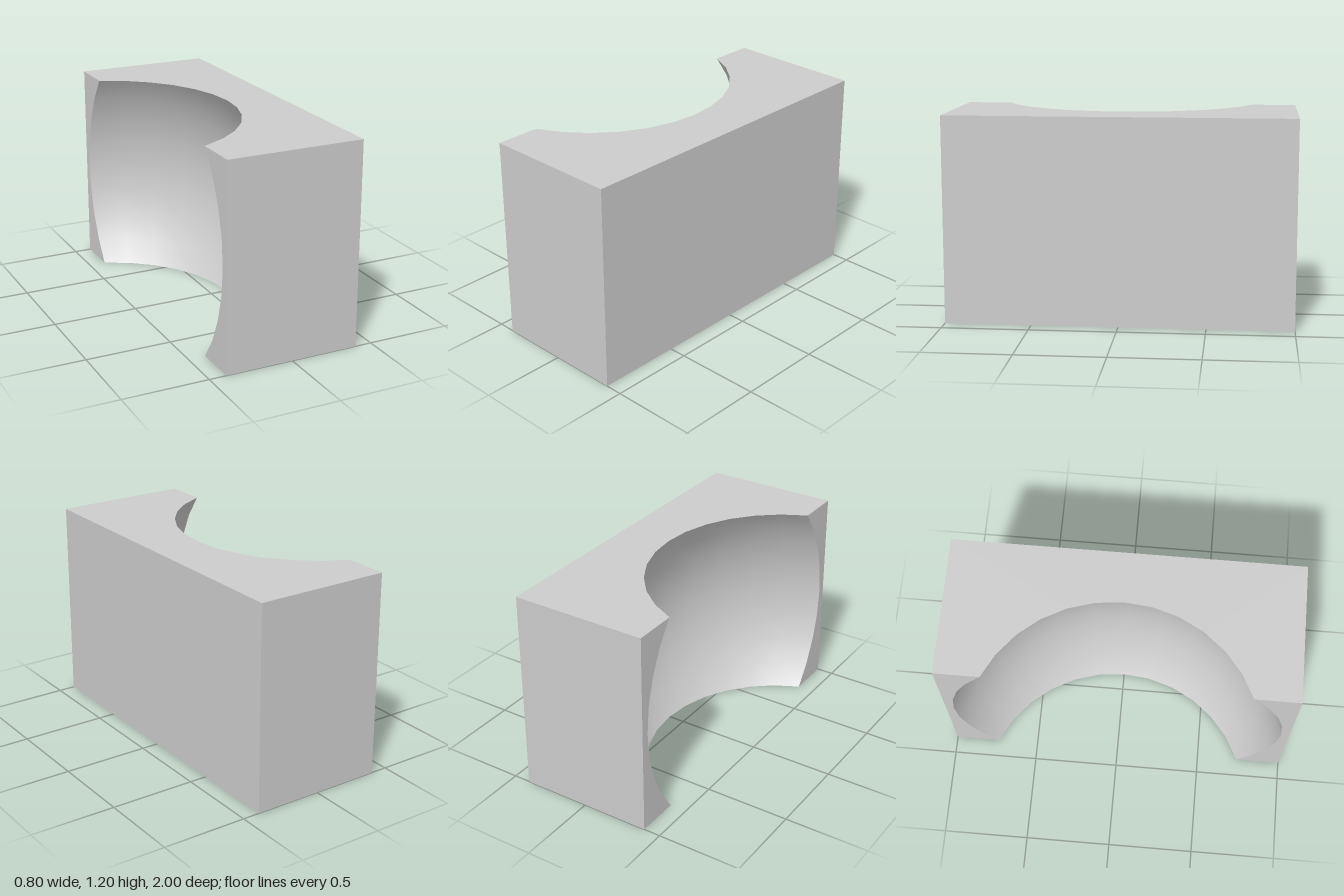
import * as THREE from 'three';
import { ParametricGeometry } from 'three/addons/geometries/ParametricGeometry.js';

const W = 0.8, H = 1.2, D = 2;      // block size
const R = 1, CX = -0.7, CY = H / 2; // spherical hollow, open on the -x side
const OPEN_X = -W / 2;
const COLS = 12, ROWS = 8;
const LAT = Math.asin(CY / R);      // latitude where the sphere meets top and bottom

// Point of the hollow: u runs along z, v runs upwards, trimmed at x = OPEN_X
function hollowPoint(u, v, target) {
  const lat = (2 * v - 1) * LAT;
  const r = R * Math.cos(lat);
  const a = (2 * u - 1) * Math.acos((OPEN_X - CX) / r);
  return target.set(CX + r * Math.cos(a), CY + R * Math.sin(lat), r * Math.sin(a));
}

export function createModel() {
  const group = new THREE.Group();
  const material = new THREE.MeshStandardMaterial({ color: 0xcccccc });
  const add = (name, geometry, x = 0, y = 0, z = 0) => {
    const mesh = new THREE.Mesh(geometry, material);
    mesh.name = name;
    mesh.position.set(x, y, z);
    group.add(mesh);
  };
  const p = new THREE.Vector3();

  // Top and bottom with the round bite
  const cap = [[OPEN_X, D / 2], [W / 2, D / 2], [W / 2, -D / 2], [OPEN_X, -D / 2]]
    .map(([x, z]) => new THREE.Vector2(x, z));
  for (let i = 0; i <= COLS; i++) {
    hollowPoint(i / COLS, 0, p);
    cap.push(new THREE.Vector2(p.x, p.z));
  }
  const capShape = new THREE.Shape(cap);
  add('topFace', new THREE.ShapeGeometry(capShape).rotateX(-Math.PI / 2), 0, H, 0);
  add('bottomFace', new THREE.ShapeGeometry(capShape).rotateX(Math.PI / 2));

  // Front and back ends, and the flat long wall
  add('frontFace', new THREE.PlaneGeometry(W, H), 0, H / 2, D / 2);
  add('backFace', new THREE.PlaneGeometry(W, H).rotateY(Math.PI), 0, H / 2, -D / 2);
  add('longWall', new THREE.PlaneGeometry(D, H).rotateY(Math.PI / 2), W / 2, H / 2, 0);

  // Narrow rims either side of the opening
  for (const s of [1, -1]) {
    const rim = [new THREE.Vector2(s * D / 2, H), new THREE.Vector2(s * D / 2, 0)];
    for (let j = 0; j <= ROWS; j++) {
      hollowPoint(s > 0 ? 1 : 0, j / ROWS, p);
      rim.push(new THREE.Vector2(p.z, p.y));
    }
    add(s > 0 ? 'frontRim' : 'backRim',
      new THREE.ShapeGeometry(new THREE.Shape(rim)).rotateY(-Math.PI / 2), OPEN_X, 0, 0);
  }

  // Smooth inner surface, with normals pointing to the sphere centre
  const hollow = new ParametricGeometry(hollowPoint, COLS, ROWS);
  const pos = hollow.attributes.position;
  for (let i = 0; i < pos.count; i++) {
    p.fromBufferAttribute(pos, i);
    p.set(CX - p.x, CY - p.y, -p.z).normalize();
    hollow.attributes.normal.setXYZ(i, p.x, p.y, p.z);
  }
  add('sphericalHollow', hollow);

  return group;
}
